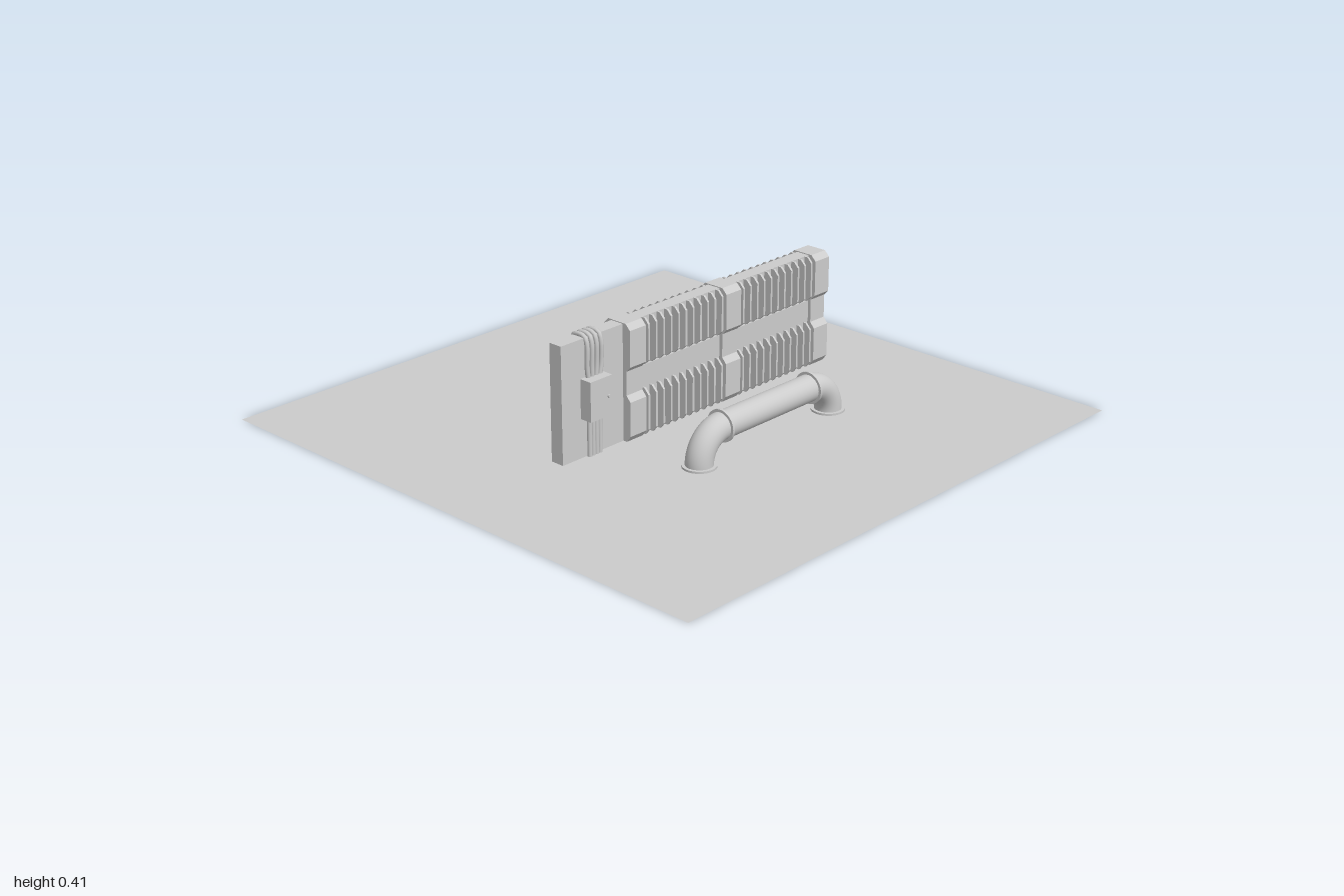
import * as THREE from 'three';
import { toCreasedNormals } from 'three/addons/utils/BufferGeometryUtils.js';

const grey = new THREE.MeshStandardMaterial({ color: 0xcccccc });
const doubleGrey = new THREE.MeshStandardMaterial({ color: 0xcccccc, side: THREE.DoubleSide });

function add(parent, name, geometry, x = 0, y = 0, z = 0, material = grey) {
  const mesh = new THREE.Mesh(geometry, material);
  mesh.name = name;
  mesh.position.set(x, y, z);
  parent.add(mesh);
  return mesh;
}

const box = (w, h, d) => new THREE.BoxGeometry(w, h, d);

// Extrudes a half outline (x, y), mirrored in x, along z and centres it
function slab(half, depth) {
  const mirrored = half.map(([x, y]) => [-x, y]).reverse();
  const shape = new THREE.Shape([...half, ...mirrored].map(([x, y]) => new THREE.Vector2(x, y)));
  return new THREE.ExtrudeGeometry(shape, { depth, bevelEnabled: false }).translate(0, 0, -depth / 2);
}

function buildWall() {
  const wall = new THREE.Group();
  wall.name = 'wall';
  add(wall, 'wallCore', box(0.05, 0.4, 1.24), 0, 0.2, -0.09);

  // Chamfered posts with a narrow waist
  const postOutline = [
    [0.04, 0], [0.057, 0.022], [0.057, 0.14], [0.04, 0.16],
    [0.04, 0.242], [0.057, 0.26], [0.057, 0.384], [0.038, 0.403],
  ];
  for (const z of [-0.675, -0.225, 0.225]) add(wall, 'post', slab(postOutline, 0.072), 0, 0, z);

  // Thin ribs above and below the recessed rail in each bay
  const lowerRib = [[0.04, 0], [0.055, 0.02], [0.055, 0.14], [0.036, 0.16]];
  const upperRib = [[0.036, 0.242], [0.055, 0.26], [0.055, 0.382], [0.038, 0.4]];
  for (const bay of [-0.45, 0]) {
    for (let i = 0; i < 11; i++) {
      const z = bay + (i - 5) * 0.0345;
      add(wall, 'lowerRib', slab(lowerRib, 0.008), 0, 0, z);
      add(wall, 'upperRib', slab(upperRib, 0.008), 0, 0, z);
    }
    add(wall, 'middleRail', box(0.068, 0.075, 0.365), 0, 0.202, bay);
  }
  return wall;
}

function buildCables() {
  const group = new THREE.Group();
  group.name = 'cablesAndJunctionBox';
  const r = 0.008;
  // Cables run over the top of the wall and down both faces
  for (let i = 0; i < 4; i++) {
    const z = 0.365 + i * 0.02;
    const low = 0.4 + (z - 0.4) * 0.75;
    const path = new THREE.CatmullRomCurve3([
      [-0.032, 0, low], [-0.032, 0.12, low], [-0.032, 0.24, low], [-0.032, 0.3, z],
      [-0.032, 0.38, z], [-0.022, 0.402, z], [0.022, 0.402, z], [0.032, 0.38, z],
      [0.032, 0.3, z], [0.032, 0.24, low], [0.032, 0.12, low], [0.032, 0, low],
    ].map((p) => new THREE.Vector3(...p)));
    add(group, 'cable', new THREE.TubeGeometry(path, 64, r, 8), 0, 0, 0, doubleGrey);
  }
  // Junction box with a small knob
  add(group, 'junctionBox', box(0.045, 0.135, 0.095), 0.048, 0.202, 0.402);
  add(group, 'boxKnob', new THREE.CylinderGeometry(0.006, 0.006, 0.008, 12).rotateZ(Math.PI / 2), 0.073, 0.202, 0.37);
  return group;
}

function buildPipe() {
  const pipe = new THREE.Group();
  pipe.name = 'pipe';
  pipe.position.set(0.335, 0, -0.073);
  const radius = 0.046, top = 0.107, reach = 0.312, bend = 0.1;
  const v = (y, z) => new THREE.Vector3(0, y, z);

  // Straight run between the two collars
  const run = 2 * (reach - bend);
  add(pipe, 'straightPipe', new THREE.CylinderGeometry(radius, radius, run, 32, 1, true).rotateX(Math.PI / 2), 0, top, 0, doubleGrey);

  for (const s of [-1, 1]) {
    // Quarter bend down to the ground
    const path = new THREE.CurvePath();
    const k = bend * 0.5523;
    path.add(new THREE.CubicBezierCurve3(
      v(top, s * (reach - bend)), v(top, s * (reach - bend + k)),
      v(top - bend + k, s * reach), v(top - bend, s * reach)));
    path.add(new THREE.LineCurve3(v(top - bend, s * reach), v(0, s * reach)));
    add(pipe, 'elbow', new THREE.TubeGeometry(path, 24, radius, 32), 0, 0, 0, doubleGrey);

    const collar = new THREE.CylinderGeometry(0.055, 0.055, 0.009, 32).rotateX(Math.PI / 2);
    add(pipe, 'collar', toCreasedNormals(collar, 0.6), 0, top, s * (reach - bend));
    add(pipe, 'groundFlange', toCreasedNormals(new THREE.CylinderGeometry(0.057, 0.057, 0.007, 32), 0.6), 0, 0.0035, s * reach);
  }
  return pipe;
}

export function createModel() {
  const model = new THREE.Group();
  model.name = 'wallAndPipe';
  add(model, 'ground', new THREE.PlaneGeometry(2, 2).rotateX(-Math.PI / 2), 0, 0, 0, doubleGrey);
  model.add(buildWall(), buildCables(), buildPipe());
  return model;
}
